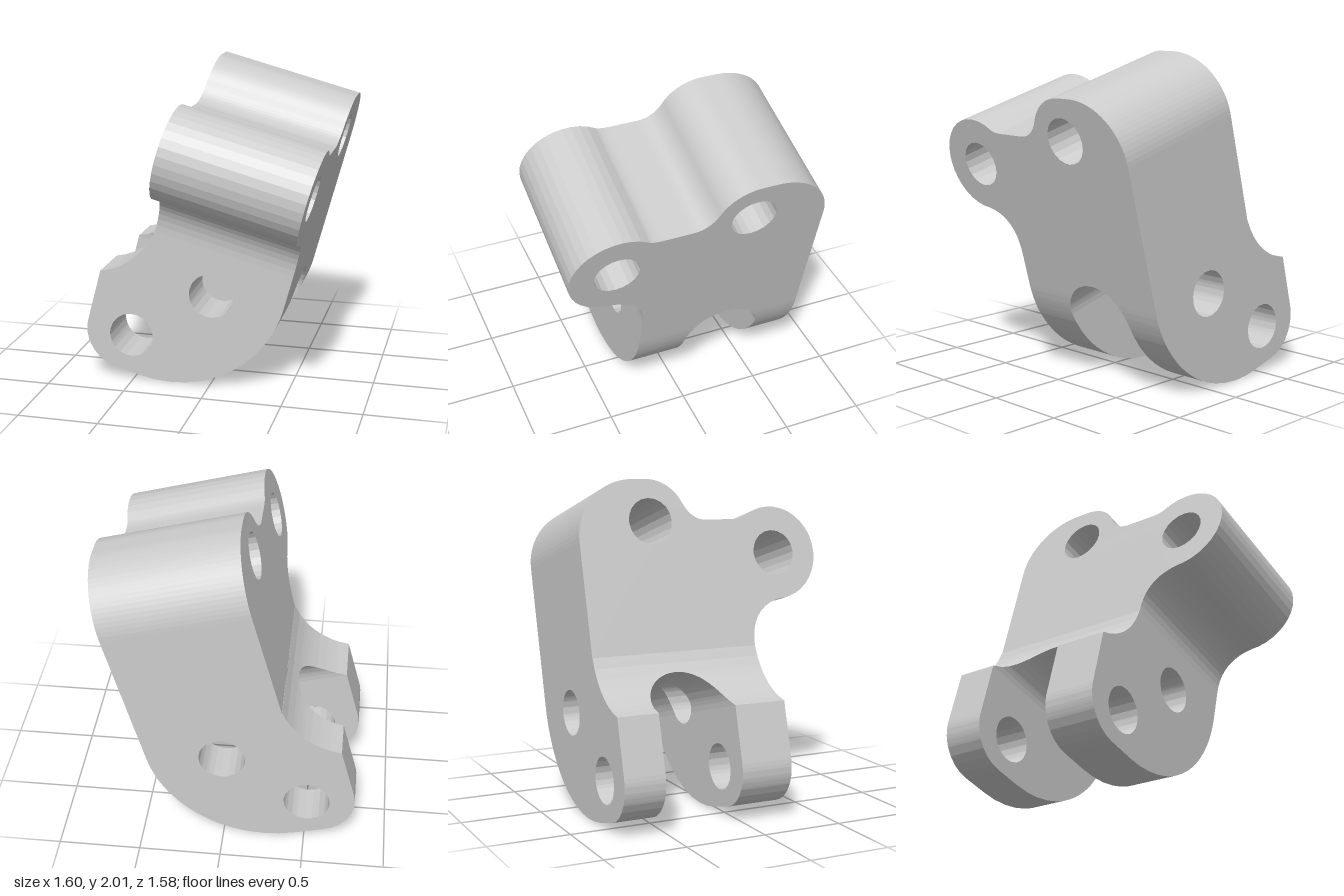
import * as THREE from 'three';

// Tilted local frame: x = across the thickness, y = up the plate, z = width
const TILT = -Math.PI / 12;
const X0 = -0.587, X1 = 0.312;          // back and front of the plate
const Z0 = -0.79, Z1 = 0.29;            // outer sides of the clevis
const BOTTOM = -0.095, SPLIT = 0.86;    // clevis height range
const slot = { z: -0.287, y: 0.489, r: 0.247 };
const pins = [{ x: -0.568, y: 0.148, r: 0.141 }, { x: -0.143, y: 0.573, r: 0.141 }];
const heel = { x: -0.615, y: 0.155, r: 0.25 };
const sweep = { x: -0.435, y: 0.652, r: 0.747 };
const throat = { x: -1.045, y: 0.92, r: 0.46 };

const half = (c, y) => Math.sqrt(Math.max(0, c.r * c.r - (y - c.y) ** 2));

// Outline of the clevis at height y
const back = y => y < heel.y ? heel.x - half(heel, y)
  : y < 0.48 ? -0.865 : Math.max(-0.865, throat.x + half(throat, y));
const front = y => y < sweep.y ? sweep.x + half(sweep, y) : X1;
const slotHalf = y => y < slot.y ? slot.r : half(slot, y);
const slotL = y => slot.z - slotHalf(y);
const slotR = y => slot.z + slotHalf(y);
const pinAt = y => pins[y < 0.36 ? 0 : 1];
const pinL = y => pinAt(y).x - half(pinAt(y), y);
const pinR = y => pinAt(y).x + half(pinAt(y), y);

// Heights at even angles round an arc, so every curve is well sampled
function arcHeights(c, a, b, n) {
  return Array.from({ length: n + 1 }, (_, i) => c.y + c.r * Math.sin(a + (b - a) * i / n));
}

function clevisRows() {
  const q = Math.PI / 2;
  const all = [BOTTOM, 0.48, 0.497, 0.36, SPLIT,
    ...arcHeights(heel, -q, 0, 7), ...arcHeights(sweep, -q, 0, 12),
    ...arcHeights(slot, 0, q, 9), ...arcHeights(throat, -1.17, -0.13, 7),
    ...pins.flatMap(p => arcHeights(p, -q, q, 10))].sort((a, b) => a - b);
  return all.filter((y, i) => y >= BOTTOM - 1e-6 && y <= SPLIT && (i === 0 || y - all[i - 1] > 1e-6));
}

function clevisGeometry() {
  const pos = [];
  const rows = clevisRows();
  const quad = (a, b, c, d) => pos.push(...a, ...b, ...c, ...a, ...c, ...d);
  // Ruled surface between two edges that are functions of height
  const ruled = (a, b, keep = () => true) => {
    for (let i = 0; i + 1 < rows.length; i++) {
      const y = rows[i], t = rows[i + 1];
      if (keep((y + t) / 2)) quad(a(y), b(y), b(t), a(t));
    }
  };
  const edge = (x, z) => y => [x(y), y, z(y)];
  const outerL = () => Z0, outerR = () => Z1;
  const inSlot = y => y < slot.y + slot.r;
  const inPin = y => Math.abs(y - pinAt(y).y) < pinAt(y).r;

  // Cheeks and slot walls, split either side of the pin holes
  for (const [x0, x1] of [[back, pinL], [pinR, front]]) {
    ruled(edge(x1, outerL), edge(x0, outerL));
    ruled(edge(x0, outerR), edge(x1, outerR));
    ruled(edge(x0, slotL), edge(x1, slotL), inSlot);
    ruled(edge(x1, slotR), edge(x0, slotR), inSlot);
  }
  // Back, front and pin hole walls of both lugs, and the flat foot
  for (const [z0, z1] of [[outerL, slotL], [slotR, outerR]]) {
    ruled(edge(back, z0), edge(back, z1));
    ruled(edge(front, z1), edge(front, z0));
    ruled(edge(pinL, z1), edge(pinL, z0), inPin);
    ruled(edge(pinR, z0), edge(pinR, z1), inPin);
    const y = BOTTOM, a = back(y), b = front(y);
    quad([a, y, z0(y)], [b, y, z0(y)], [b, y, z1(y)], [a, y, z1(y)]);
  }
  const g = new THREE.BufferGeometry();
  g.setAttribute('position', new THREE.Float32BufferAttribute(pos, 3));
  g.computeVertexNormals();
  return g;
}

// Two-lobed plate, drawn with horizontal = -z
function plateGeometry() {
  const rad = THREE.MathUtils.degToRad;
  const s = new THREE.Shape();
  s.moveTo(-Z1, SPLIT);
  s.lineTo(-Z0, SPLIT);
  s.absarc(0.42, 1.547, 0.37, 0, rad(90), false);
  s.absarc(0.33, 1.66, 0.257, rad(90), rad(155), false);
  s.quadraticCurveTo(0.044, 1.655, -0.06, 1.655);
  s.lineTo(-0.24, 1.655);
  s.quadraticCurveTo(-0.303, 1.655, -0.332, 1.675);
  s.absarc(-0.5, 1.435, 0.293, rad(55), rad(268), false);
  s.quadraticCurveTo(-0.29, 1.1, -Z1, SPLIT);
  for (const [x, y] of [[0.32, 1.658], [-0.5, 1.435]]) {
    s.holes.push(new THREE.Path().absarc(x, y, 0.141, 0, Math.PI * 2, true));
  }
  const g = new THREE.ExtrudeGeometry(s, { depth: X1 - X0, bevelEnabled: false, curveSegments: 10 });
  return g.rotateY(Math.PI / 2).translate(X0, 0, 0);
}

export function createModel() {
  const material = new THREE.MeshStandardMaterial({ color: 0xcccccc, flatShading: true });
  const bracket = new THREE.Group();
  bracket.name = 'bracket';
  for (const [name, geometry] of [['mountingPlate', plateGeometry()], ['clevis', clevisGeometry()]]) {
    const mesh = new THREE.Mesh(geometry, material);
    mesh.name = name;
    bracket.add(mesh);
  }
  bracket.rotation.z = TILT;
  const model = new THREE.Group();
  model.name = 'clevisBracket';
  model.add(bracket);
  return model;
}
